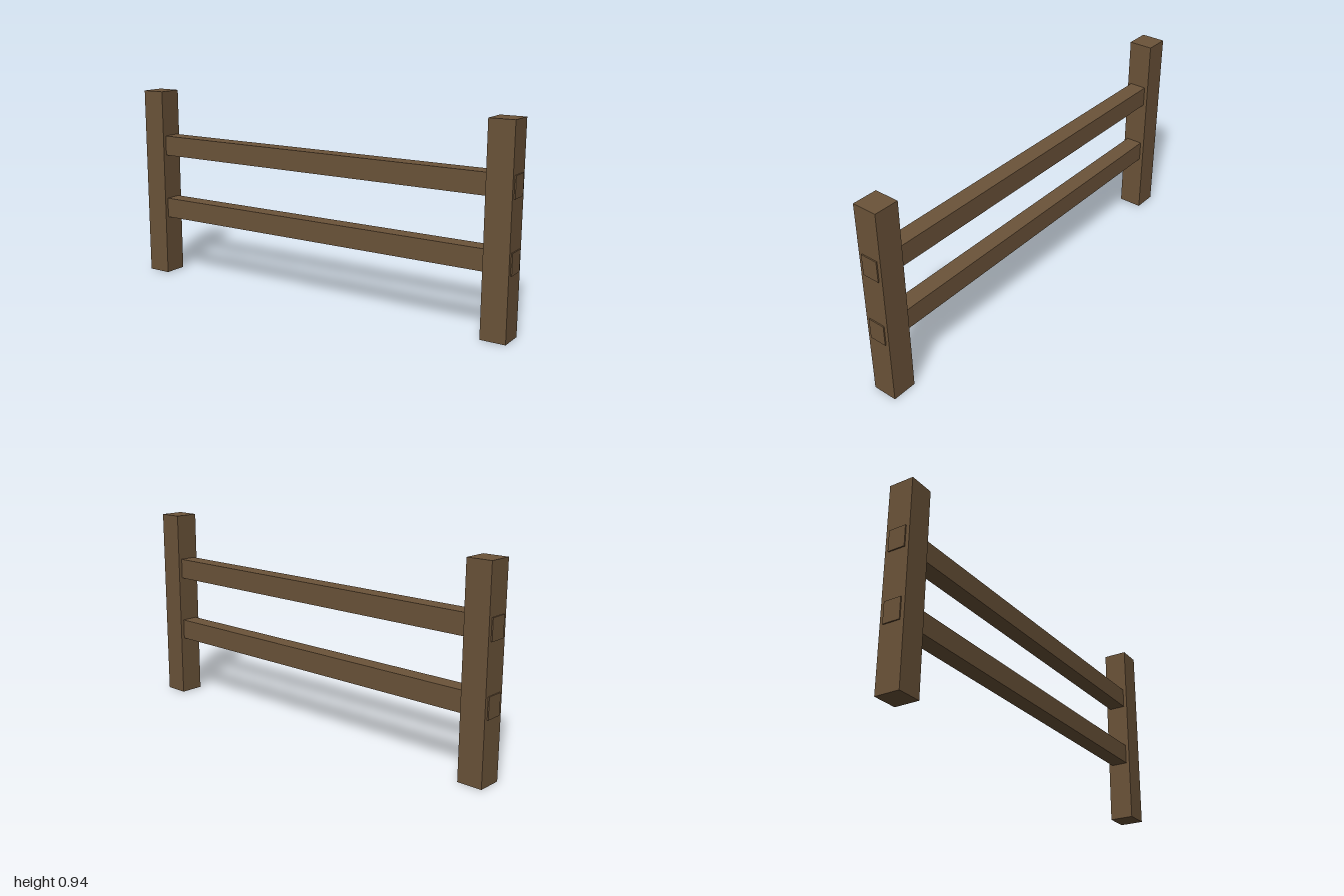
import * as THREE from 'three';

export function createModel() {
  const model = new THREE.Group();
  model.name = 'fence';
  const wood = new THREE.MeshStandardMaterial({ color: 0x6b5339 });

  const beam = (name, size, x, y) => {
    const mesh = new THREE.Mesh(new THREE.BoxGeometry(...size), wood);
    mesh.name = name;
    mesh.position.set(x, y, 0);
    model.add(mesh);
  };

  // Square upright posts
  const postHeight = 0.9375;
  for (const [name, side] of [['leftPost', 1], ['rightPost', -1]]) {
    beam(name, [0.117, postHeight, 0.117], side * 0.936, postHeight / 2);
  }

  // Rails run through the posts and stand slightly proud of their outer faces
  for (const [name, y] of [['lowerRail', 0.342], ['upperRail', 0.664]]) {
    beam(name, [2, 0.098, 0.082], 0, y);
  }

  return model;
}
